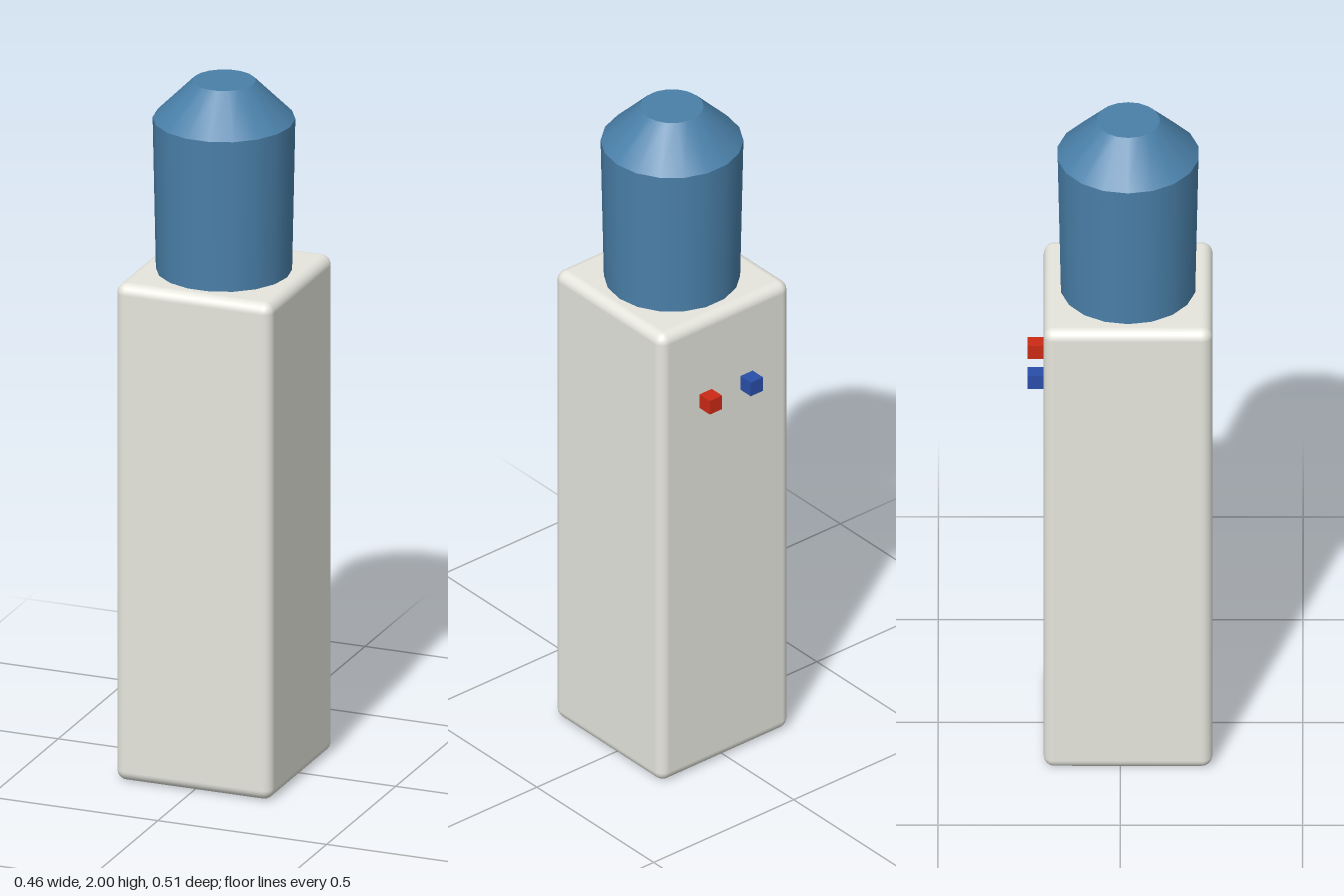
import * as THREE from 'three';
import { RoundedBoxGeometry } from 'three/addons/geometries/RoundedBoxGeometry.js';

function mat(name, color) {
  const m = new THREE.MeshStandardMaterial({ color });
  m.name = name;
  return m;
}

export function createModel() {
  const model = new THREE.Group();
  model.name = 'waterCooler';
  const casing = mat('off-white casing', 0xe6e6de);
  const water = mat('bottle blue', 0x4a80a9);
  const red = mat('hot tap red', 0xcc2a14);
  const blue = mat('cold tap blue', 0x2a4ea8);
  const axisZ = 0.021;

  const add = (name, geometry, material, x, y, z) => {
    const mesh = new THREE.Mesh(geometry, material);
    mesh.name = name;
    mesh.position.set(x, y, z);
    model.add(mesh);
    return mesh;
  };

  // Rounded cabinet
  add('cabinet', new RoundedBoxGeometry(0.463, 1.45, 0.463, 4, 0.03), casing, 0, 0.725, axisZ);

  // Eighteen-sided bottle: tapered body and sloped shoulder, corners on the x axis
  const tier = (name, rTop, rBottom, y0, y1) => {
    const geometry = new THREE.CylinderGeometry(rTop, rBottom, y1 - y0, 18);
    geometry.rotateY(Math.PI / 2);
    add(name, geometry, water, 0, (y0 + y1) / 2, axisZ);
  };
  tier('bottleBody', 0.196, 0.187, 1.45, 1.89);
  tier('bottleShoulder', 0.087, 0.196, 1.89, 2);

  // Hot and cold taps on the back face
  const tap = new THREE.BoxGeometry(0.044, 0.044, 0.05);
  add('hotTap', tap, red, 0.073, 1.193, -0.23);
  add('coldTap', tap, blue, -0.073, 1.193, -0.23);

  return model;
}
